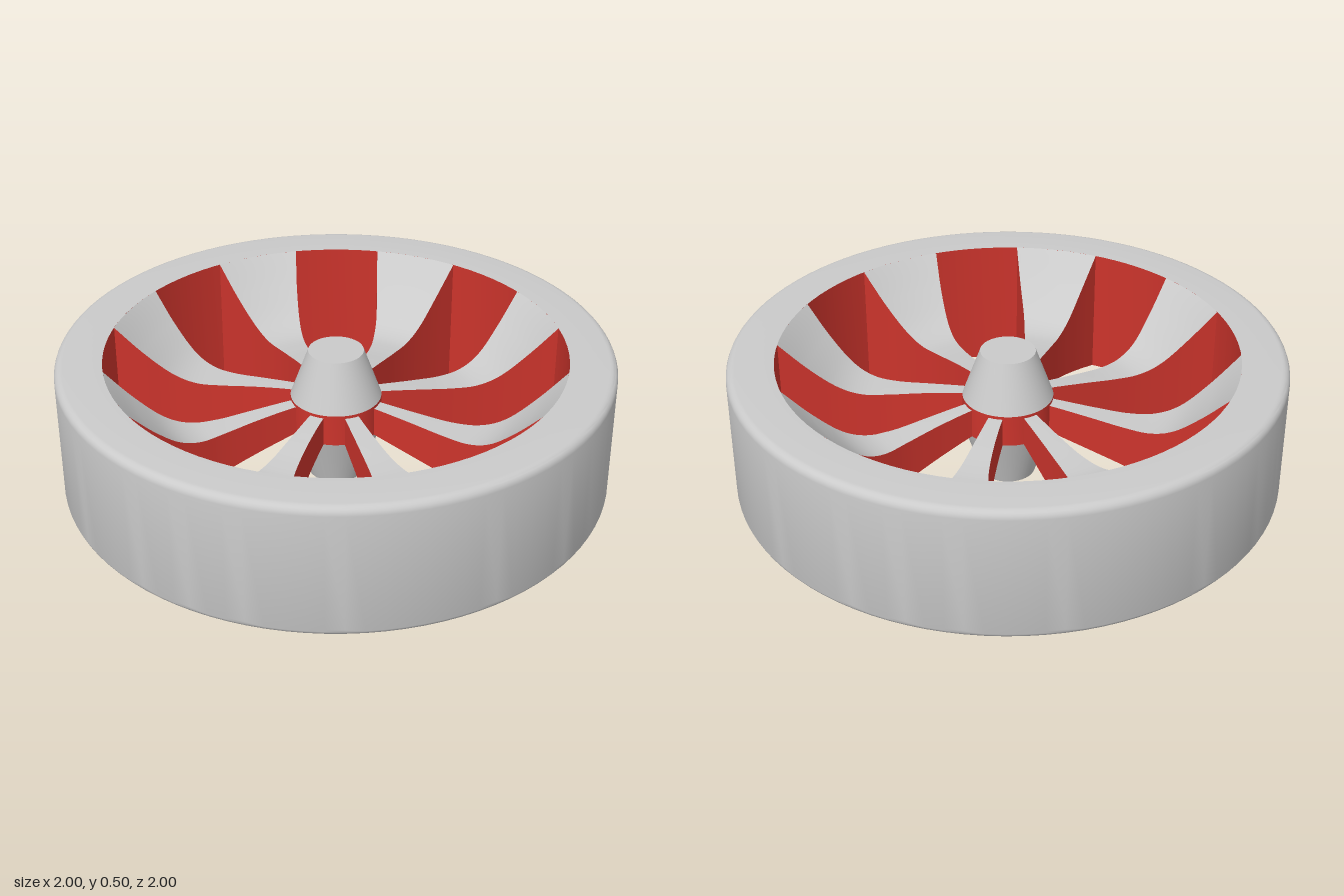
import * as THREE from 'three';
import { toCreasedNormals } from 'three/addons/utils/BufferGeometryUtils.js';
import { ParametricGeometry } from 'three/addons/geometries/ParametricGeometry.js';

const H = 0.5, OUTER = 1, INNER = 0.83, HUB = 0.165, FILLET = 0.03;
const UNDER = 0.2; // height of the spoke underside at the hub
const SPOKES = 8;

const grey = new THREE.MeshStandardMaterial({ color: 0xcacaca });
grey.name = 'light grey';
const red = new THREE.MeshStandardMaterial({ color: 0xcc342c });
red.name = 'red';

function addMesh(parent, name, geometry, material) {
  const mesh = new THREE.Mesh(geometry, material);
  mesh.name = name;
  parent.add(mesh);
}

function lathe(points, segments = 96) {
  const profile = points.map(([r, y]) => new THREE.Vector2(r, y));
  return toCreasedNormals(new THREE.LatheGeometry(profile, segments), 0.5);
}

// Spoke stations: radius, one edge, other edge, top height
const stations = [
  [0.10, -0.030, 0.016, 0.315],
  [0.20, -0.040, 0.016, 0.305],
  [0.32, -0.058, 0.016, 0.290],
  [0.44, -0.083, 0.017, 0.275],
  [0.54, -0.115, 0.024, 0.275],
  [0.63, -0.148, 0.036, 0.310],
  [0.73, -0.194, 0.055, 0.395],
  [INNER, -0.240, 0.080, H],
];
const edgeCurve = new THREE.CatmullRomCurve3(
  stations.map(([r, a, b]) => new THREE.Vector3(r, a, b)), false, 'catmullrom');
const topCurve = new THREE.CatmullRomCurve3(
  stations.map(([r, , , y]) => new THREE.Vector3(r, y, 0)), false, 'catmullrom');

// Point on a spoke: u runs outward, across from edge to edge, up from underside to top
function spokePoint(u, across, up, target) {
  const e = edgeCurve.getPoint(u);
  const r = e.x;
  const z = THREE.MathUtils.lerp(e.y, e.z, across);
  const top = topCurve.getPoint(u).y;
  const bottom = UNDER * (INNER - r) / (INNER - HUB);
  target.set(Math.sqrt(r * r - z * z), THREE.MathUtils.lerp(bottom, top, up), z);
}

export function createModel() {
  const model = new THREE.Group();
  model.name = 'wheel';

  // Rim with rounded outer corners
  const rim = [[INNER, 0]];
  for (const [cy, start] of [[FILLET, -Math.PI / 2], [H - FILLET, 0]]) {
    for (let i = 0; i <= 6; i++) {
      const a = start + (i / 6) * Math.PI / 2;
      rim.push([OUTER - FILLET + FILLET * Math.cos(a), cy + FILLET * Math.sin(a)]);
    }
  }
  rim.push([INNER, H]);
  addMesh(model, 'rim', lathe(rim), grey);
  addMesh(model, 'rimInnerWall', lathe([[INNER, H], [INNER, 0]]), red);

  // Hub: a cone above and below a red waist
  addMesh(model, 'hubTop', lathe([[HUB, 0.32], [0.1, H], [0, H]], 48), grey);
  addMesh(model, 'hubBottom', lathe([[0, 0], [0.1, 0], [HUB, UNDER]], 48), grey);
  addMesh(model, 'hubWaist', lathe([[HUB, UNDER], [HUB, 0.32]], 48), red);

  // Dished, flaring spokes with red side walls
  const spokeTop = new ParametricGeometry((u, v, t) => spokePoint(u, 1 - v, 1, t), 36, 8);
  const spokeUnder = new ParametricGeometry((u, v, t) => spokePoint(u, v, 0, t), 36, 8);
  const wallA = new ParametricGeometry((u, v, t) => spokePoint(u, 0, 1 - v, t), 36, 2);
  const wallB = new ParametricGeometry((u, v, t) => spokePoint(u, 1, v, t), 36, 2);
  for (let i = 0; i < SPOKES; i++) {
    const spoke = new THREE.Group();
    spoke.name = `spoke${i + 1}`;
    spoke.rotation.y = (i / SPOKES) * Math.PI * 2;
    addMesh(spoke, 'spokeTop', spokeTop, grey);
    addMesh(spoke, 'spokeUnderside', spokeUnder, grey);
    addMesh(spoke, 'spokeWideWall', wallA, red);
    addMesh(spoke, 'spokeNarrowWall', wallB, red);
    model.add(spoke);
  }
  return model;
}
